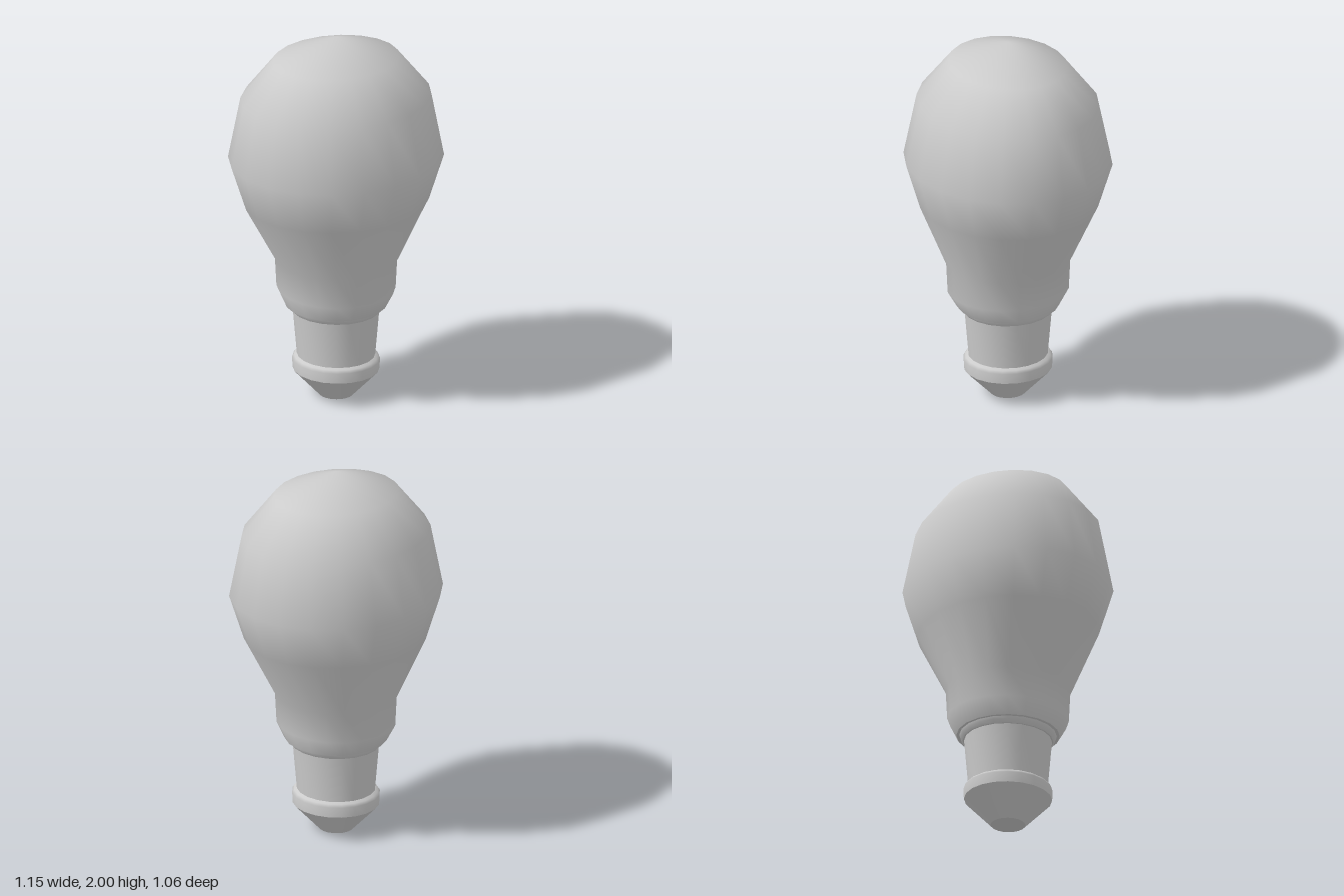
import * as THREE from 'three';
import { mergeVertices } from 'three/addons/utils/BufferGeometryUtils.js';

const SIDES = 20;
const material = new THREE.MeshStandardMaterial({ color: 0xcccccc, side: THREE.DoubleSide });

// Smooth loft through elliptical rings [y, radiusX, radiusZ], bottom to top
function loft(name, rings) {
  const lathe = new THREE.LatheGeometry(rings.map(([y, rx]) => new THREE.Vector2(rx, y)), SIDES);
  const pos = lathe.attributes.position;
  for (let i = 0; i < pos.count; i++) {
    const [, rx, rz] = rings[i % rings.length];
    if (rx > 0) pos.setZ(i, pos.getZ(i) * rz / rx);
  }
  // weld the seam so the shading runs round without a break
  lathe.deleteAttribute('uv');
  lathe.deleteAttribute('normal');
  const geometry = mergeVertices(lathe, 1e-5);
  geometry.computeVertexNormals();
  const mesh = new THREE.Mesh(geometry, material);
  mesh.name = name;
  return mesh;
}

export function createModel() {
  const group = new THREE.Group();
  group.name = 'lightBulb';

  group.add(
    // glass
    loft('glassBulb', [
      [0.51, 0.265, 0.27],
      [0.6, 0.302, 0.323],
      [0.76, 0.311, 0.33],
      [1.09, 0.495, 0.46],
      [1.333, 0.575, 0.532],
      [1.667, 0.514, 0.461],
      [1.88, 0.343, 0.297],
      [2, 0, 0],
    ]),
    loft('glassUnderside', [[0.51, 0.24, 0.25], [0.51, 0.265, 0.27]]),
    // metal base
    loft('collar', [[0.478, 0.23, 0.238], [0.495, 0.243, 0.252], [0.512, 0.248, 0.257]]),
    loft('collarUnderside', [[0.478, 0.215, 0.225], [0.478, 0.23, 0.238]]),
    loft('baseSleeve', [[0.22, 0.2, 0.21], [0.48, 0.222, 0.232]]),
    loft('baseRing', [
      [0.145, 0.222, 0.233],
      [0.2, 0.224, 0.236],
      [0.215, 0.214, 0.225],
      [0.225, 0.198, 0.208],
    ]),
    loft('baseCone', [[0, 0.088, 0.092], [0.145, 0.222, 0.233]]),
    loft('contactTip', [[0, 0, 0], [0, 0.088, 0.092]]),
  );
  return group;
}
